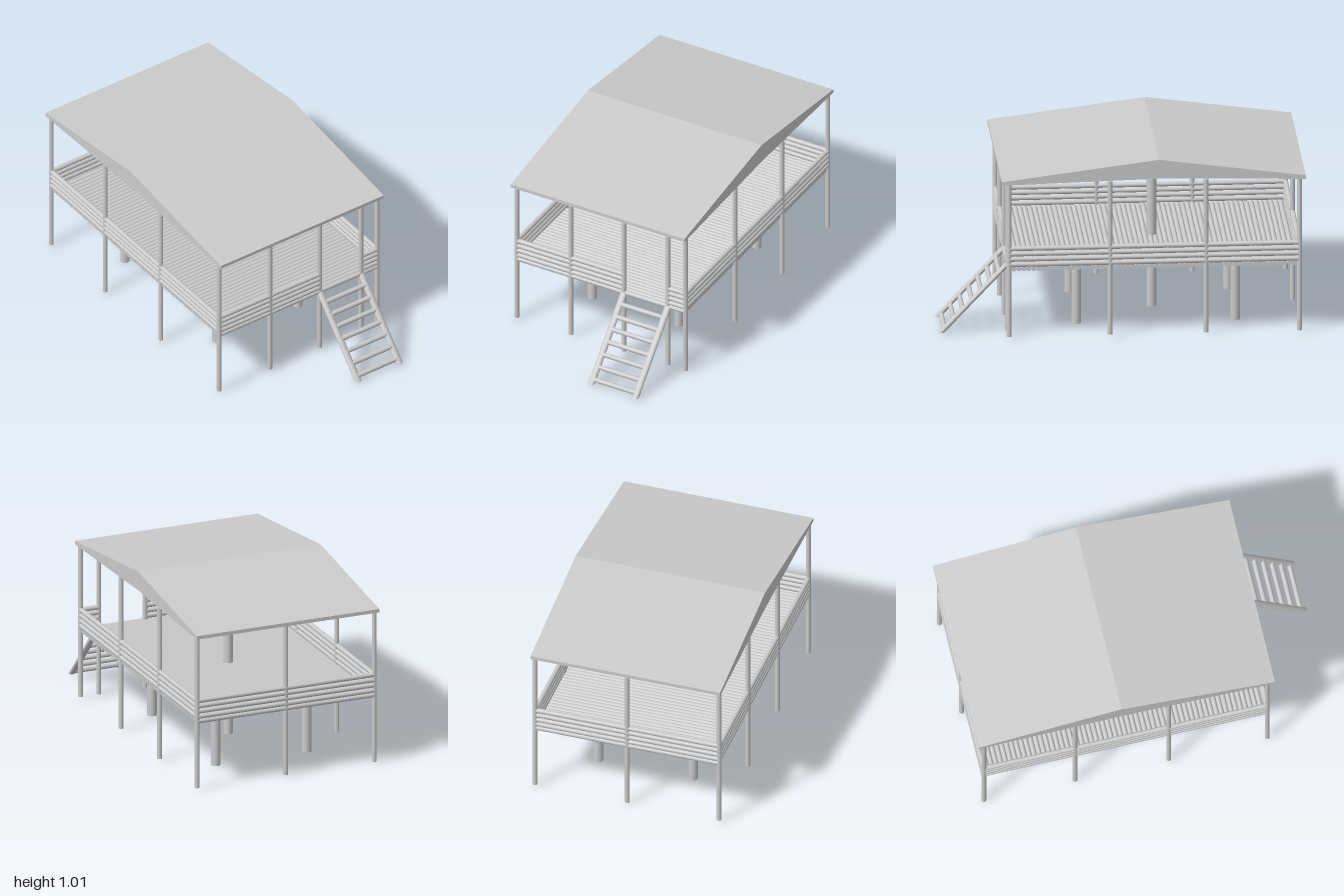
import * as THREE from 'three';

const material = new THREE.MeshStandardMaterial({ color: 0xcccccc });
const R = 0.0135; // radius of thin logs
const V = (x, y, z) => new THREE.Vector3(x, y, z);

// Round log between two points
function log(parent, name, a, b, radius = R) {
  const dir = b.clone().sub(a);
  const mesh = new THREE.Mesh(new THREE.CylinderGeometry(radius, radius, dir.length(), 16), material);
  mesh.position.copy(a).add(b).multiplyScalar(0.5);
  mesh.quaternion.setFromUnitVectors(V(0, 1, 0), dir.normalize());
  mesh.name = name;
  parent.add(mesh);
}

function section(parent, name) {
  const g = new THREE.Group();
  g.name = name;
  parent.add(g);
  return g;
}

export function createModel() {
  const model = new THREE.Group();
  model.name = 'stiltPavilion';
  const X = 0.526, ZF = 0.618, ZB = -0.967, deckY = 0.4;
  const stairX = [0.143, 0.418];

  // Roof: solid low gable with a slightly raised underside
  const gable = new THREE.Shape([
    [0.658, 0.885], [0.658, 0.905], [-0.2, 1.013], [-1, 0.905], [-1, 0.885], [-0.2, 0.905],
  ].map(([z, y]) => new THREE.Vector2(z, y)));
  const roofGeo = new THREE.ExtrudeGeometry(gable, { depth: 1.084, bevelEnabled: false });
  roofGeo.rotateY(-Math.PI / 2).translate(0.542, 0, 0);
  const roof = new THREE.Mesh(roofGeo, material);
  roof.name = 'roof';
  model.add(roof);

  // Thin posts around the edge
  const posts = section(model, 'posts');
  const spots = [[-0.188, ZF], [stairX[0], ZF], [stairX[1], ZF], [0, ZB]];
  for (const s of [-1, 1]) for (const z of [ZF, 0.067, -0.457, ZB]) spots.push([s * X, z]);
  for (const [x, z] of spots) log(posts, 'post', V(x, 0.015, z), V(x, 0.893, z));

  // Thick piles under the deck, and the central one that carries the ridge
  const piles = section(model, 'piles');
  for (const x of [-0.27, 0.27])
    for (const z of [0.233, -0.634]) log(piles, 'pile', V(x, 0, z), V(x, deckY, z), 0.026);
  log(piles, 'centrePile', V(0.005, 0, -0.197), V(0.005, 0.94, -0.197), 0.026);

  // Deck of logs laid side by side
  const deck = section(model, 'deck');
  const count = 60;
  for (let i = 0; i < count; i++) {
    const z = ZF + (ZB - ZF) * i / (count - 1);
    log(deck, 'deckLog', V(-X, deckY, z), V(X, deckY, z));
  }

  // Railings, with an opening at the stairs
  const railings = section(model, 'railings');
  for (let i = 0; i < 4; i++) {
    const y = 0.426 + i * 0.0303;
    for (const s of [-1, 1]) log(railings, 'sideRail', V(s * X, y, ZF), V(s * X, y, ZB));
    log(railings, 'backRail', V(-X, y, ZB), V(X, y, ZB));
    log(railings, 'frontRail', V(-X, y, ZF), V(stairX[0], y, ZF));
    log(railings, 'frontRail', V(stairX[1], y, ZF), V(X, y, ZF));
  }

  // Stairs: leaning stringers with level ends, and round treads
  const stairs = section(model, 'stairs');
  const y0 = 0.013, y1 = 0.405;
  const zAt = (y) => 0.98 + (0.612 - 0.98) * (y - y0) / (y1 - y0);
  for (const x of stairX) {
    const geo = new THREE.CylinderGeometry(0.019, 0.019, y1 - y0, 16);
    geo.translate(x, (y0 + y1) / 2, 0);
    const p = geo.attributes.position;
    for (let i = 0; i < p.count; i++) p.setZ(i, p.getZ(i) + zAt(p.getY(i)));
    geo.computeVertexNormals();
    const stringer = new THREE.Mesh(geo, material);
    stringer.name = 'stringer';
    stairs.add(stringer);
  }
  for (let i = 0; i < 7; i++) {
    const y = 0.031 + i * 0.053;
    log(stairs, 'tread', V(stairX[0], y, zAt(y)), V(stairX[1], y, zAt(y)));
  }
  return model;
}
